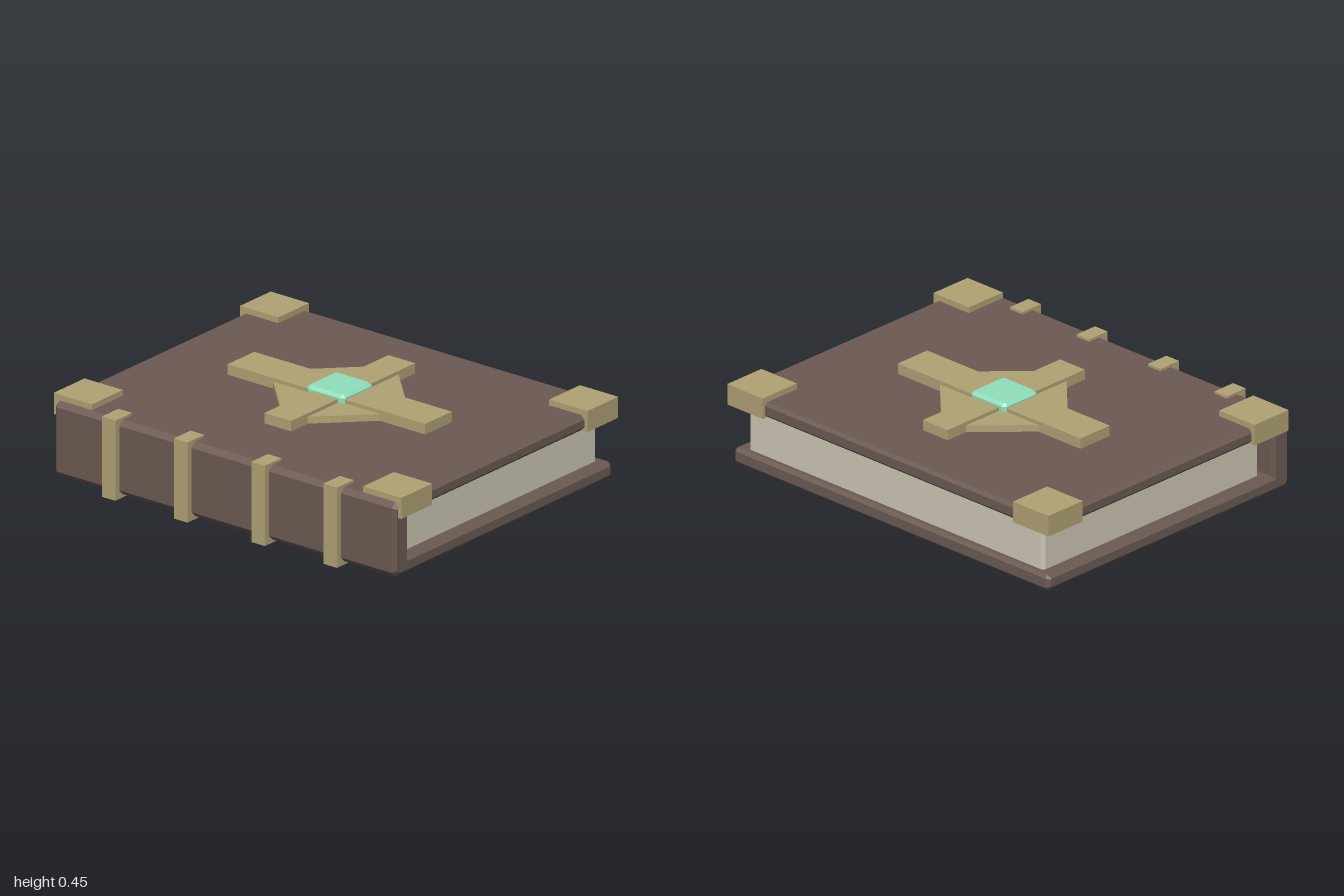
import * as THREE from 'three';

const material = (color) => new THREE.MeshStandardMaterial({ color, flatShading: true });

export function createModel() {
  const book = new THREE.Group();
  book.name = 'book';
  const leather = material(0x6b5a52);
  const brass = material(0xb0a274);
  const paper = material(0xcdc7b4);
  const jewel = material(0x90dfbc);

  const add = (name, geometry, mat, parent = book) => {
    const mesh = new THREE.Mesh(geometry, mat);
    mesh.name = name;
    parent.add(mesh);
    return mesh;
  };

  // Box given by its lower and upper corner
  const box = (name, lo, hi, mat, parent) => {
    const mesh = add(name, new THREE.BoxGeometry(...hi.map((h, i) => h - lo[i])), mat, parent);
    mesh.position.set(...hi.map((h, i) => (h + lo[i]) / 2));
    return mesh;
  };

  // Extrusion along z, centred, with a chamfer that stays inside the outline
  const extrude = (points, depth, chamfer = 0) => {
    const shape = new THREE.Shape(points.map(([x, y]) => new THREE.Vector2(x, y)));
    const geometry = new THREE.ExtrudeGeometry(shape, {
      depth: depth - 2 * chamfer,
      bevelEnabled: chamfer > 0,
      bevelSize: chamfer,
      bevelThickness: chamfer,
      bevelOffset: -chamfer,
      bevelSegments: 1,
    });
    return geometry.translate(0, 0, chamfer - depth / 2);
  };

  // Rectangle with cut corners
  const cutRect = (x0, y0, x1, y1, c) => [
    [x0 + c, y0], [x1 - c, y0], [x1, y0 + c], [x1, y1 - c],
    [x1 - c, y1], [x0 + c, y1], [x0, y1 - c], [x0, y0 + c],
  ];

  // Cover: both boards and the spine as one C-shaped section
  const c = 0.015;
  add('cover', extrude([
    [-0.75, 0.015], [0.785 - c, 0.015], [0.785, 0.015 + c], [0.785, 0.092 - c],
    [0.785 - c, 0.092], [-0.67, 0.092], [-0.67, 0.303], [0.785 - c, 0.303],
    [0.785, 0.303 + c], [0.785, 0.376 - c], [0.785 - c, 0.376], [-0.75, 0.376],
    [-0.775, 0.351], [-0.775, 0.04],
  ], 1.965, 0.018), leather);

  // Page block with cut upright edges
  add('pages', extrude(cutRect(-0.645, -0.92, 0.75, 0.92, 0.015), 0.22)
    .rotateX(-Math.PI / 2).translate(0, 0.198, 0), paper);

  // Corner guards of the front board
  const corners = new THREE.Group();
  corners.name = 'cornerGuards';
  book.add(corners);
  for (const x of [-0.75, 0.58]) {
    for (const z of [-1, 0.78]) {
      box('cornerGuard', [x, 0.302, z], [x + 0.22, 0.404, z + 0.22], brass, corners);
    }
  }

  // Bands around the spine
  const bands = new THREE.Group();
  bands.name = 'spineBands';
  book.add(bands);
  for (const z of [-0.64, -0.225, 0.22, 0.635]) {
    box('spineBand', [-0.805, 0, z - 0.039], [-0.686, 0.388, z + 0.039], brass, bands);
  }

  // Cross ornament on a diamond plate
  const ornament = new THREE.Group();
  ornament.name = 'ornament';
  ornament.position.x = 0.055;
  book.add(ornament);
  box('longBar', [-0.095, 0.36, -0.571], [0.095, 0.427, 0.566], brass, ornament);
  box('shortBar', [-0.443, 0.36, -0.08], [0.443, 0.426, 0.074], brass, ornament);
  const r = 0.402;
  add('diamondPlate', extrude([[r, 0], [0, r], [-r, 0], [0, -r]], 0.05)
    .rotateX(-Math.PI / 2).translate(0, 0.384, -0.003), brass, ornament);

  // Chamfered gem
  add('gem', extrude(cutRect(-0.11, -0.11, 0.11, 0.11, 0.016), 0.06, 0.014)
    .rotateX(-Math.PI / 2).translate(0, 0.418, -0.004), jewel, ornament);

  return book;
}
